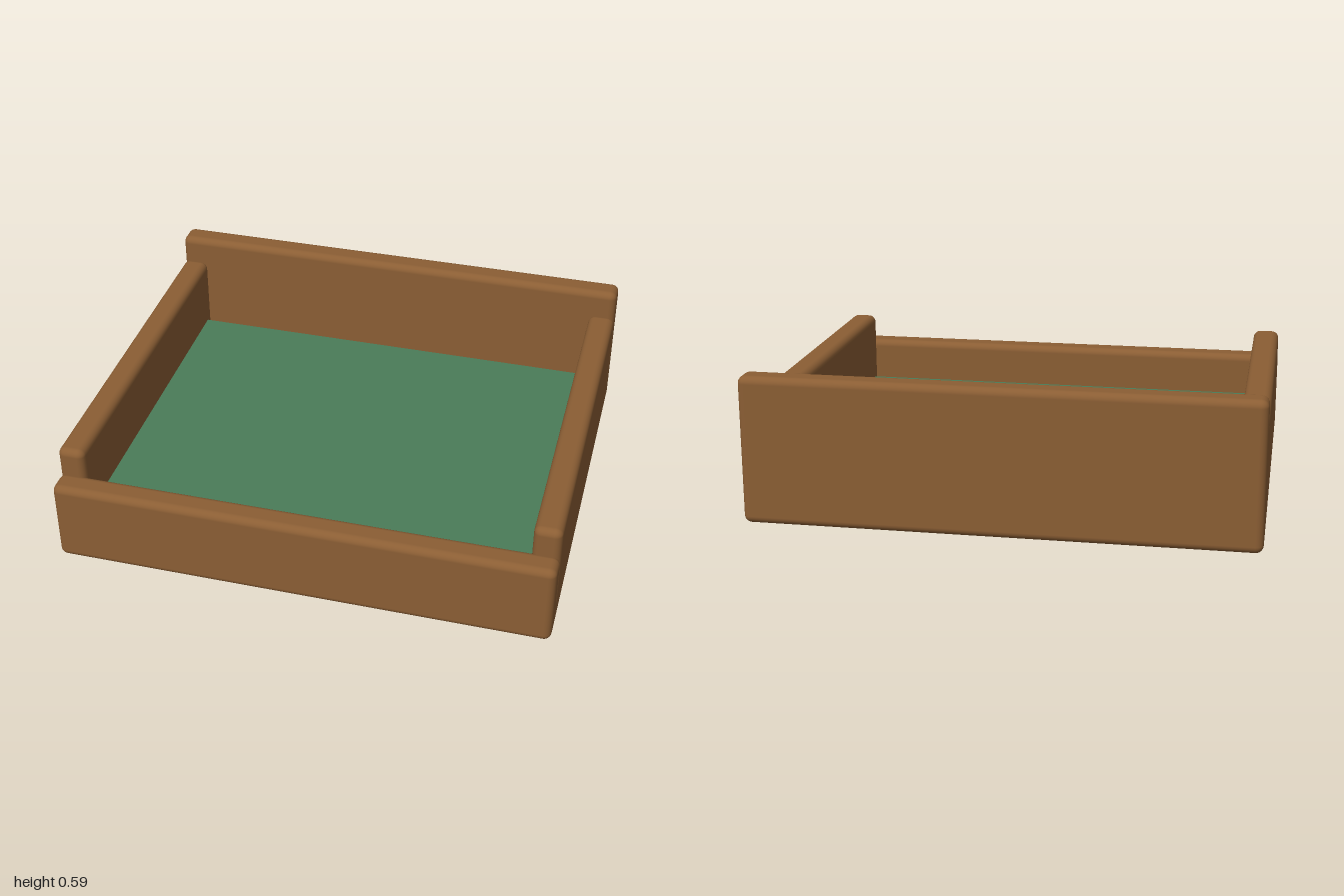
import * as THREE from 'three';
import { RoundedBoxGeometry } from 'three/addons/geometries/RoundedBoxGeometry.js';

export function createModel() {
  const group = new THREE.Group();
  const wood = new THREE.MeshStandardMaterial({ color: 0x8b5e34 });
  const felt = new THREE.MeshStandardMaterial({ color: 0x4a7c59 });

  const W = 2, D = 1.7, T = 0.11, R = 0.03; // tray width, depth, wall thickness, edge radius

  // Rounded board standing on y = 0
  function board(name, w, h, d, x, z) {
    const mesh = new THREE.Mesh(new RoundedBoxGeometry(w, h, d, 3, R), wood);
    mesh.name = name;
    mesh.position.set(x, h / 2, z);
    group.add(mesh);
  }

  // Base and the four walls, stepped down from back to front
  board('base', W, 0.15, D, 0, 0);
  board('backWall', W, 0.59, T, 0, -(D - T) / 2);
  board('frontWall', W, 0.35, T, 0, (D - T) / 2);
  for (const [name, side] of [['leftWall', 1], ['rightWall', -1]]) {
    board(name, T, 0.47, 1.52, side * (W - T) / 2, 0);
  }

  // Felt pad lying on the base between the side walls
  const pad = new THREE.Mesh(new THREE.BoxGeometry(1.8, 0.03, 1.405), felt);
  pad.name = 'feltPad';
  pad.position.y = 0.165;
  group.add(pad);

  return group;
}
